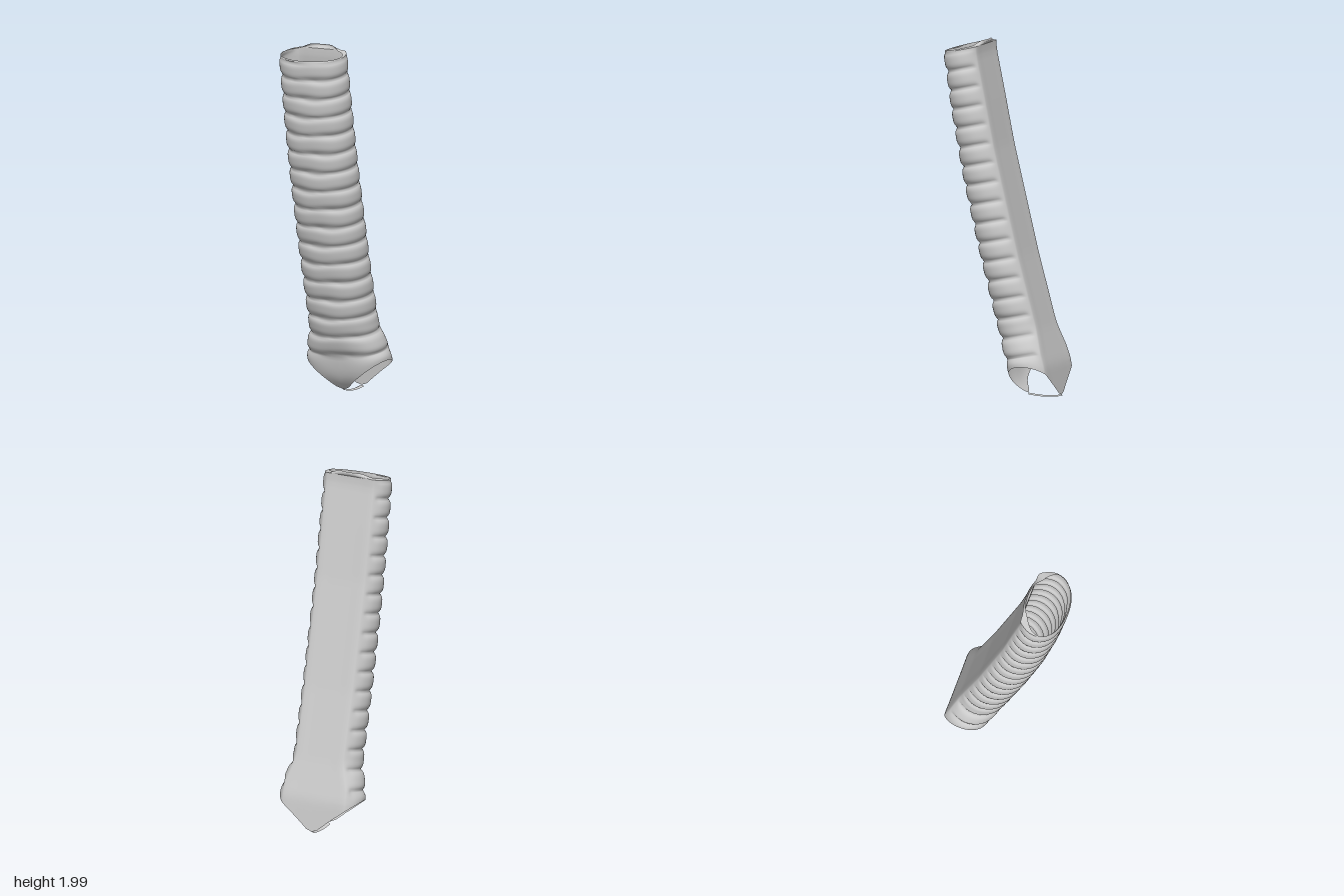
import * as THREE from 'three';

const { lerp, smoothstep, clamp } = THREE.MathUtils;
const material = new THREE.MeshStandardMaterial({ color: 0xcccccc, side: THREE.DoubleSide });

// Piecewise-linear lookup through [y, z] pairs, softened by averaging neighbours.
const lookup = (pts) => {
  const at = (y) => {
    let i = 0;
    while (i < pts.length - 2 && y > pts[i + 1][0]) i++;
    const [y0, z0] = pts[i], [y1, z1] = pts[i + 1];
    return lerp(z0, z1, clamp((y - y0) / (y1 - y0), 0, 1));
  };
  return (y) => (at(y - 0.03) + 2 * at(y) + at(y + 0.03)) / 4;
};
const frontZ = lookup([[0, -0.17], [0.05, -0.115], [0.1, -0.085], [0.2, -0.05], [0.4, 0.02], [0.8, 0.125], [1.2, 0.22], [1.6, 0.295], [1.95, 0.345]]);
const backZ = lookup([[0, -0.345], [0.2, -0.32], [0.4, -0.255], [0.8, -0.145], [1.4, 0], [1.7, 0.06], [1.93, 0.108], [2, 0.11]]);

// Cross-section outline: u = -1..1 across, d = 0 (flat back) .. 1 (round front).
const COLS = 90;
function sectionOutline() {
  const half = [[0, 0], [0.35, 0], [0.68, 0], [0.76, 0.02], [0.93, 0.18], [1, 0.4], [0.94, 0.63], [0.75, 0.83], [0.42, 0.96], [0, 1]];
  const mirrored = half.slice(1, -1).reverse().map(([u, d]) => [-u, d]);
  const loop = [...half, ...mirrored].map(([u, d]) => new THREE.Vector3(u, d, 0));
  const curve = new THREE.CatmullRomCurve3(loop, true, 'centripetal');
  return Array.from({ length: COLS }, (_, j) => curve.getPoint(j / COLS));
}

// Join rows of points, each a closed loop, into a smooth skin.
function skin(rows) {
  const pos = [], index = [];
  rows.forEach((row) => row.forEach((p) => pos.push(p.x, p.y, p.z)));
  for (let i = 0; i < rows.length - 1; i++) {
    for (let j = 0; j < COLS; j++) {
      const a = i * COLS + j, b = i * COLS + ((j + 1) % COLS);
      index.push(a, a + COLS, b, b, a + COLS, b + COLS);
    }
  }
  const g = new THREE.BufferGeometry();
  g.setAttribute('position', new THREE.Float32BufferAttribute(pos, 3));
  // Outline runs back -> +x -> front, rows run downwards.
  for (let k = 0; k < index.length; k += 3) [index[k + 1], index[k + 2]] = [index[k + 2], index[k + 1]];
  g.setIndex(index);
  g.computeVertexNormals();
  return g;
}

const TOP = 1.95, SKIRT = 0.25, RINGS = 16, STEPS = 10, TILT = 0.05;

// Point of the wall at section height y; s = 0..1 pulls it down to the forked lower edge.
function wallPoint(u, d, y, groove, s = 0) {
  const flare = smoothstep(0.42 - y, 0, 0.22);
  const wide = Math.sign(u) * Math.pow(Math.abs(u), lerp(1, 0.75, flare));
  const x = wide * (0.203 + 0.047 * flare - groove);
  let py = y + TILT * (0.5 - d) * (1 - s);
  if (s > 0) {
    const notch = Math.abs(x) < 0.004 ? 0.02 : 0;
    const edge = 0.002 + 0.197 * Math.pow(Math.abs(x) / 0.25, 0.92) + notch;
    py = lerp(SKIRT + TILT * (0.5 - d), edge, s);
  }
  const z = lerp(backZ(py), frontZ(py), d) - groove * Math.max(0, (d - 0.4) / 0.6);
  return new THREE.Vector3(x, py, z);
}

export function createModel() {
  const group = new THREE.Group();
  const outline = sectionOutline();
  const add = (name, geometry) => {
    const mesh = new THREE.Mesh(geometry, material);
    mesh.name = name;
    group.add(mesh);
  };

  // Ringed tube with a plain flat back
  const tube = [];
  for (let i = 0; i <= RINGS * STEPS; i++) {
    const t = i / STEPS;
    const y = lerp(TOP, SKIRT, t / RINGS);
    tube.push(outline.map(({ x: u, y: d }) => {
      const wobble = 0.06 * Math.sin(u * 4 + Math.floor(t) * 1.7);
      const dip = Math.pow(1 - Math.abs(Math.sin(Math.PI * (t + wobble * (1 - u * u)))), 2);
      const groove = 0.018 * dip * smoothstep(d, 0.01, 0.14);
      return wallPoint(u, d, y, i === 0 ? 0.008 * smoothstep(d, 0.01, 0.14) : groove);
    }));
  }

  // Forked lower end, open to both sides
  for (let i = 1; i <= 12; i++) {
    const s = i / 12;
    tube.push(outline.map(({ x: u, y: d }) =>
      wallPoint(u, d, SKIRT - 0.05 * s, 0.018 * (1 - s) ** 3 * smoothstep(d, 0.01, 0.14), s)));
  }
  add('ringedTube', skin(tube));

  // Upper lip narrowing to an oval mouth, with a raised flap at the back
  const lip = [0, 0.5, 1].map((k) => outline.map(({ x: u, y: d }, j) => {
    const a = Math.atan2((d - 0.5) * 2, u);
    const p = tube[0][j].clone();
    const oval = wallPoint(0.93 * Math.cos(a), 0.5 + 0.46 * Math.sin(a), TOP + 0.006, 0);
    p.lerp(oval, k);
    const back = smoothstep(0.3 - d, 0, 0.3) * Math.max(0, 1 - (u / 0.8) ** 2);
    p.y += k * 0.028 * back;
    p.z -= Math.sin(k * Math.PI * 0.75) * 0.026 * back;
    return p;
  }).map((p) => { p.y = Math.min(p.y, 2); return p; }));
  add('upperLip', skin(lip.reverse()));

  // Ridge dividing the two lower openings
  const ridge = new THREE.PlaneGeometry(0.032, 1, 2, 8);
  const rp = ridge.attributes.position;
  for (let i = 0; i < rp.count; i++) {
    const x = rp.getX(i), k = rp.getY(i) + 0.5;
    const y = Math.abs(x) < 0.004 ? 0.022 : 0.015;
    rp.setXYZ(i, x, y - 0.008 * Math.sin(k * Math.PI), lerp(backZ(y), frontZ(y), k));
  }
  ridge.computeVertexNormals();
  add('dividingRidge', ridge);

  return group;
}
